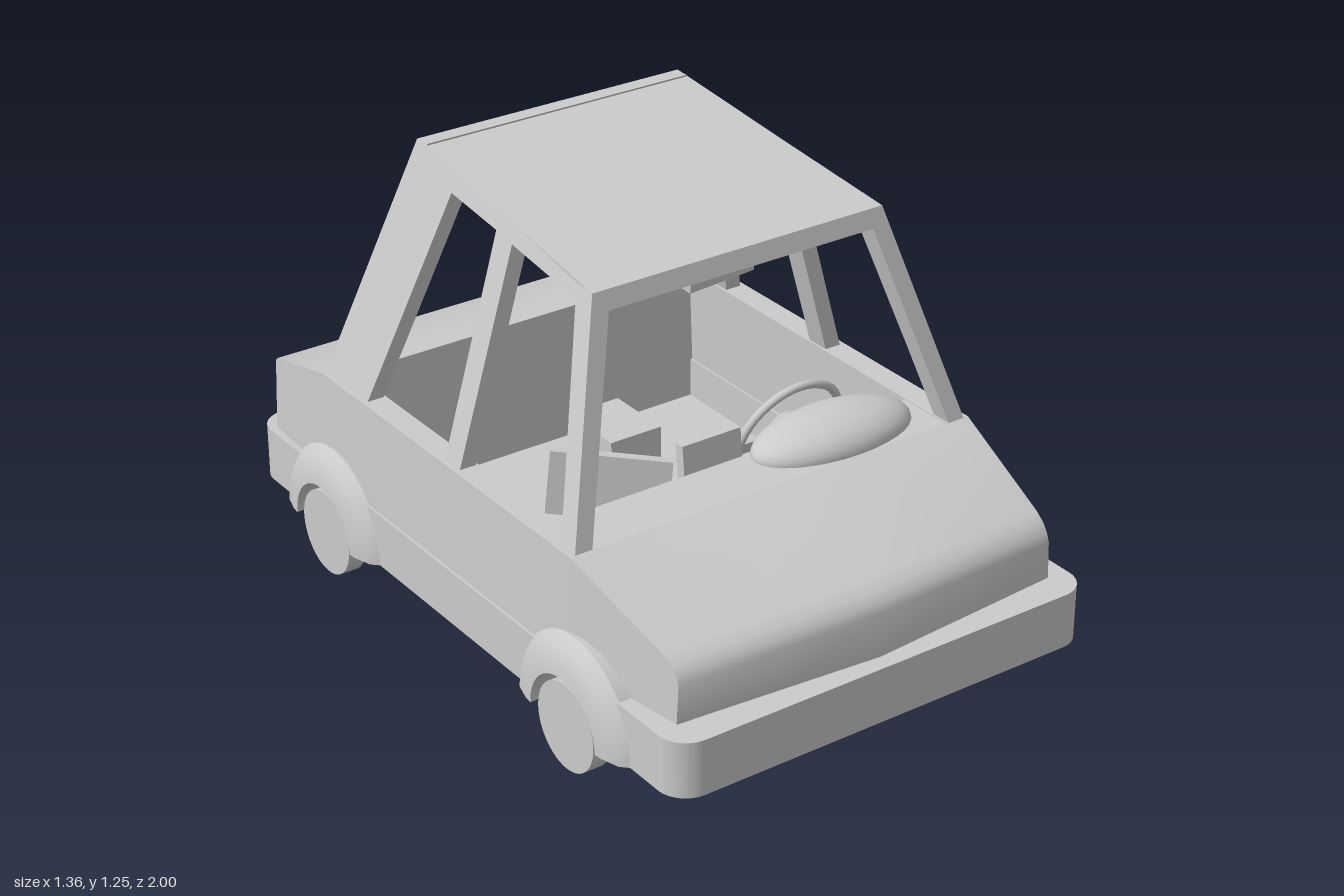
import * as THREE from 'three';
import { toCreasedNormals } from 'three/addons/utils/BufferGeometryUtils.js';

const material = new THREE.MeshStandardMaterial({ color: 0xcccccc });
const thinMaterial = new THREE.MeshStandardMaterial({ color: 0xcccccc, side: THREE.DoubleSide });
const SILL = 0.56;
const clamp = THREE.MathUtils.clamp;

function part(name, geometry, position = [0, 0, 0], rotation = [0, 0, 0], mat = material) {
  const mesh = new THREE.Mesh(geometry, mat);
  mesh.name = name;
  mesh.position.set(...position);
  mesh.rotation.set(...rotation);
  return mesh;
}

const box = (name, size, position, rotation) =>
  part(name, new THREE.BoxGeometry(...size), position, rotation);

// Moves every vertex by a rule, then rebuilds the normals
function warp(geometry, rule) {
  const p = geometry.attributes.position;
  const v = new THREE.Vector3();
  for (let i = 0; i < p.count; i++) {
    rule(v.fromBufferAttribute(p, i));
    p.setXYZ(i, v.x, v.y, v.z);
  }
  return toCreasedNormals(geometry, 0.6);
}

function extrude(points, depth, steps = 1) {
  const shape = new THREE.Shape(points.map(([a, b]) => new THREE.Vector2(a, b)));
  return new THREE.ExtrudeGeometry(shape, { depth, steps, bevelEnabled: false });
}

// Extrudes a (z, y) profile across x
const extrudeX = (points, x0, x1, steps) =>
  extrude(points, x1 - x0, steps).rotateY(-Math.PI / 2).translate(x1, 0, 0);

// Tapers the body towards both ends and bows the nose
function bodyRule(v) {
  const nose = clamp((v.z - 0.53) / 0.425, 0, 1);
  const tail = clamp((-0.65 - v.z) / 0.28, 0, 1);
  const side = Math.abs(v.x) / 0.62;
  v.x *= (1 + 0.02 * (SILL - v.y) / 0.285) * (1 - 0.085 * nose) * (1 - 0.025 * tail);
  if (v.y > 0.3) v.y -= 0.02 * side * nose;
  v.z -= 0.045 * side * nose;
}

// Lower hull with rounded corners, wheel notches and an open middle
function hullGeometry() {
  const w = 0.64, l = 1, r = 0.08, n = 0.14;
  const s = new THREE.Shape();
  s.moveTo(-w + r, -l).lineTo(w - r, -l);
  s.absarc(w - r, -l + r, r, -Math.PI / 2, 0);
  for (const z of [-0.575, 0.575])
    s.lineTo(w, z - n).lineTo(0.59, z - n).lineTo(0.59, z + n).lineTo(w, z + n);
  s.absarc(w - r, l - r, r, 0, Math.PI / 2);
  s.absarc(-w + r, l - r, r, Math.PI / 2, Math.PI);
  for (const z of [0.575, -0.575])
    s.lineTo(-w, z + n).lineTo(-0.59, z + n).lineTo(-0.59, z - n).lineTo(-w, z - n);
  s.absarc(-w + r, -l + r, r, Math.PI, Math.PI * 1.5);
  s.holes.push(new THREE.Path([[-0.555, -0.36], [-0.555, 0.6], [0.555, 0.6], [0.555, -0.36]]
    .map(([x, y]) => new THREE.Vector2(x, y))));
  const g = new THREE.ExtrudeGeometry(s, { depth: 0.155, bevelEnabled: false, curveSegments: 8 });
  return toCreasedNormals(g.rotateX(-Math.PI / 2).translate(0, 0.12, 0), 0.6);
}

// Wheel with its bulging arch, for the +x side
function wheelUnit(z) {
  const unit = new THREE.Group();
  unit.name = 'wheelUnit';
  const wheel = new THREE.CylinderGeometry(0.12, 0.12, 0.052, 40).rotateZ(Math.PI / 2);
  unit.add(part('wheel', wheel, [0.642, 0.12, z]));
  const profile = [[0.14, 0.58], [0.14, 0.678], [0.165, 0.675], [0.215, 0.66], [0.24, 0.635], [0.24, 0.58]]
    .map(([r, h]) => new THREE.Vector2(r, h));
  const arch = new THREE.LatheGeometry(profile, 28, Math.PI, Math.PI).rotateZ(-Math.PI / 2);
  unit.add(part('wheelArch', toCreasedNormals(arch, 0.5), [0, 0.12, z], [0, 0, 0], thinMaterial));
  for (const s of [-1, 1]) {
    const end = new THREE.ShapeGeometry(new THREE.Shape(profile.map(p => new THREE.Vector2(p.y, p.x))));
    const cap = part('archEnd', end.rotateX(Math.PI / 2), [0, 0.12, z], [0, 0, 0], thinMaterial);
    cap.scale.z = s;
    unit.add(cap);
  }
  return unit;
}

// End window frame: an upside-down U in (x, y), leaned along z
function endFrame(name, topY, topX, innerY, innerX, z0, depth, lean) {
  const u = [[0.605, SILL], [topX, topY], [-topX, topY], [-0.605, SILL],
    [-0.555, SILL], [-innerX, innerY], [innerX, innerY], [0.555, SILL]];
  const g = extrude(u, depth).translate(0, 0, z0);
  return part(name, warp(g, v => { v.z += lean * (v.y - SILL); }));
}

function cabin() {
  const group = new THREE.Group();
  group.name = 'cabin';
  group.add(endFrame('windscreenFrame', 1.145, 0.44, 1.095, 0.402, 0.47, 0.06, -0.2735));
  group.add(endFrame('rearWindowFrame', 1.245, 0.405, 1.2, 0.37, -0.65, 0.045, 0.27));

  // Side pillars and rail, leaning inwards
  const comb = [[0.53, SILL], [0.37, 1.145], [-0.465, 1.245], [-0.65, SILL],
    [-0.435, SILL], [-0.27, 1.17], [-0.055, 1.15], [-0.055, SILL],
    [0.015, SILL], [0.02, 1.14], [0.31, 1.11], [0.47, SILL]];
  for (const s of [-1, 1]) {
    const g = warp(extrudeX(comb, 0.557, 0.605), v => { v.x -= 0.287 * (v.y - SILL); });
    const side = part('sidePillars', g);
    side.scale.x = s;
    group.add(side);
  }

  const roof = warp(new THREE.BoxGeometry(2, 2, 2), v => {
    const front = v.z > 0;
    v.set(v.x * (front ? 0.44 : 0.405),
      (front ? 1.145 : 1.245) - (v.y > 0 ? 0 : 0.04), front ? 0.37 : -0.465);
  });
  group.add(part('roof', roof));
  group.add(box('mirror', [0.21, 0.1, 0.04], [0.035, 1.047, 0.23], [0.12, 0.08, 0]));
  return group;
}

function interior() {
  const group = new THREE.Group();
  group.name = 'interior';
  group.add(box('floor', [1.11, 0.04, 0.96], [0, 0.14, -0.12]));
  group.add(box('dashboard', [1.12, 0.4, 0.17], [0, 0.357, 0.445]));
  const cowl = new THREE.SphereGeometry(1, 32, 20).scale(0.245, 0.077, 0.12);
  group.add(part('instrumentCowl', cowl, [0.27, SILL, 0.405]));
  group.add(box('centreScreen', [0.18, 0.23, 0.03], [-0.065, 0.515, 0.34], [-0.1, 0, 0]));
  group.add(box('centreConsole', [0.18, 0.24, 0.12], [-0.065, 0.28, 0.31]));
  group.add(box('gloveboxLid', [0.31, 0.18, 0.025], [-0.3, 0.515, 0.23], [0, -0.65, -0.09]));
  group.add(box('armrest', [0.16, 0.27, 0.2], [0, 0.295, -0.18]));

  // Steering wheel, lower edge towards the driver
  const steering = new THREE.Group();
  steering.name = 'steeringWheel';
  steering.position.set(0.27, 0.49, 0.225);
  steering.rotation.x = 0.3;
  steering.add(part('rim', new THREE.TorusGeometry(0.16, 0.012, 10, 40)));
  steering.add(box('spokes', [0.31, 0.035, 0.015], [0, 0, 0]));
  const hub = new THREE.CylinderGeometry(0.05, 0.06, 0.04, 24).rotateX(Math.PI / 2);
  steering.add(part('hub', hub));
  const column = new THREE.CylinderGeometry(0.025, 0.025, 0.18, 16).rotateX(Math.PI / 2);
  steering.add(part('column', column, [0, 0, 0.09]));
  group.add(steering);
  return group;
}

export function createModel() {
  const car = new THREE.Group();
  car.name = 'car';
  car.add(part('hull', hullGeometry()));

  // Upper body: bonnet, boot and door walls
  const bonnet = [[0.955, 0.275], [0.955, 0.4], [0.945, 0.422], [0.925, 0.443], [0.89, 0.46],
    [0.53, SILL], [0.53, 0.275]];
  const boot = [[-0.6, 0.275], [-0.6, SILL], [-0.645, SILL], [-0.915, 0.49], [-0.925, 0.48], [-0.925, 0.275]];
  const door = [[0.53, 0.275], [0.53, SILL], [-0.6, SILL], [-0.6, 0.275]];
  car.add(part('bonnet', warp(extrudeX(bonnet, -0.62, 0.62, 4), bodyRule)));
  car.add(part('boot', warp(extrudeX(boot, -0.62, 0.62, 2), bodyRule)));
  for (const s of [-1, 1]) {
    const wall = part('doorWall', warp(extrudeX(door, 0.55, 0.62), bodyRule));
    wall.scale.x = s;
    car.add(wall);
    for (const z of [0.572, -0.582]) {
      const unit = wheelUnit(z);
      unit.scale.x = s;
      car.add(unit);
    }
  }

  car.add(cabin(), interior());
  return car;
}
